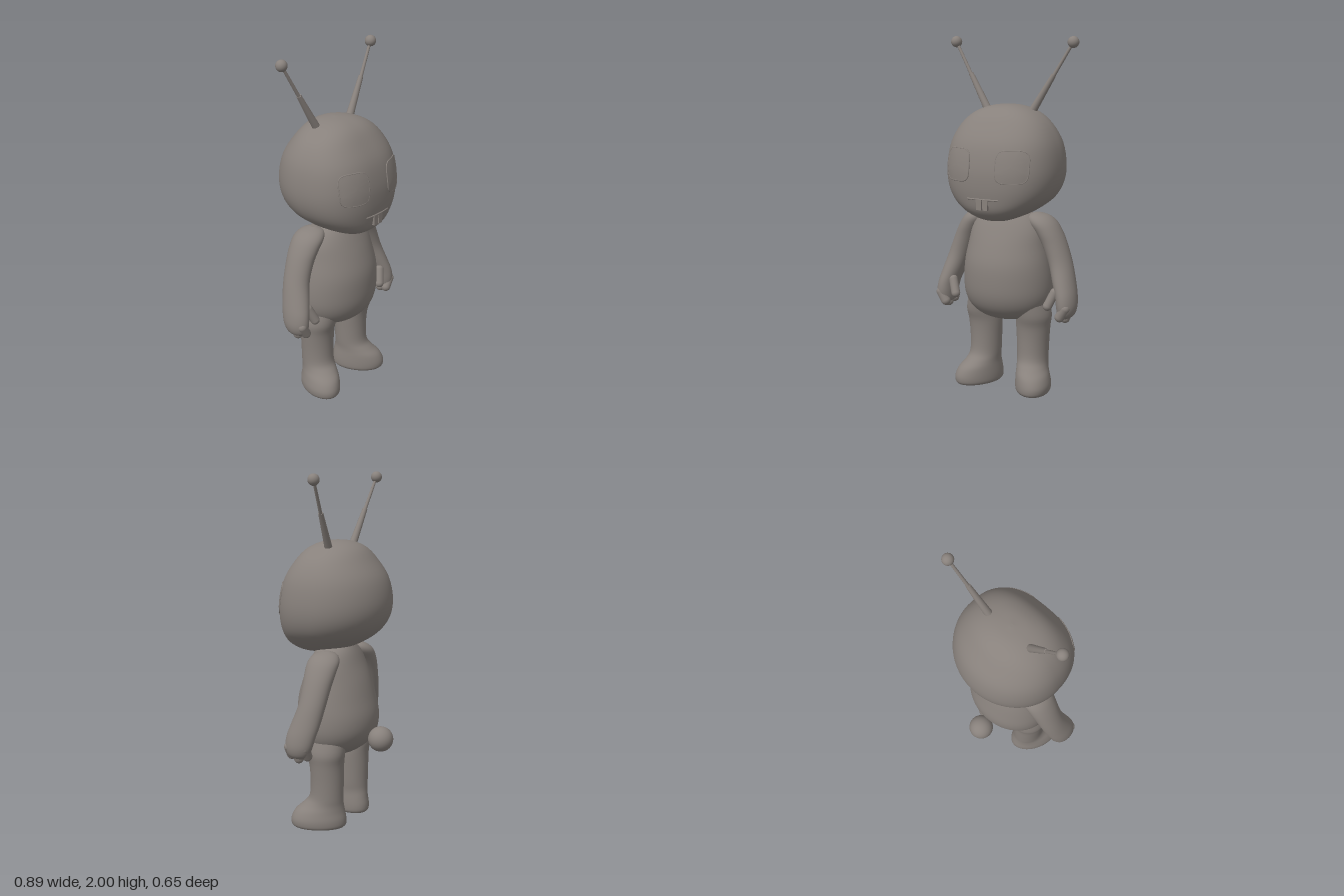
import * as THREE from 'three';

const skin = new THREE.MeshStandardMaterial({ color: 0x88817c });
skin.name = 'warm grey';

// Smoothly resample a list of cross-sections [x, y, z, rx, rz, yaw]
function resample(rings, steps) {
  const out = [];
  for (let i = 0; i < rings.length - 1; i++) {
    const p = [rings[Math.max(i - 1, 0)], rings[i], rings[i + 1], rings[Math.min(i + 2, rings.length - 1)]];
    for (let s = 0; s < steps; s++) {
      const t = s / steps;
      out.push(p[1].map((b, k) => {
        const a = p[0][k], c = p[2][k], d = p[3][k];
        return b + 0.5 * t * (c - a + t * (2 * a - 5 * b + 4 * c - d + t * (3 * (b - c) + d - a)));
      }));
    }
  }
  out.push(rings[rings.length - 1]);
  return out;
}

// Loft horizontal ovals listed from bottom to top; frontPower squares off the +z half
function loft(rings, frontPower = 2, segments = 40, steps = 4) {
  const sections = resample(rings, steps);
  const pos = [], index = [];
  const addRing = ([x, y, z, rx, rz, yaw]) => {
    const start = pos.length / 3;
    for (let j = 0; j < segments; j++) {
      const t = (j / segments) * Math.PI * 2, c = Math.cos(t), s = Math.sin(t);
      const e = s > 0 ? 2 / frontPower : 1;
      const u = Math.sign(c) * Math.abs(c) ** e * rx, v = Math.sign(s) * Math.abs(s) ** e * rz;
      pos.push(x + u * Math.cos(yaw) + v * Math.sin(yaw), y, z - u * Math.sin(yaw) + v * Math.cos(yaw));
    }
    return start;
  };
  const starts = sections.map(addRing);
  for (let i = 0; i < starts.length - 1; i++) {
    for (let j = 0; j < segments; j++) {
      const k = (j + 1) % segments;
      const a = starts[i] + j, b = starts[i] + k, c = starts[i + 1] + j, d = starts[i + 1] + k;
      index.push(a, c, b, b, c, d);
    }
  }
  // Flat end caps
  [sections[0], sections[sections.length - 1]].forEach((section, top) => {
    const start = addRing(section), centre = pos.length / 3;
    pos.push(section[0], section[1], section[2]);
    for (let j = 0; j < segments; j++) {
      const a = start + j, b = start + (j + 1) % segments;
      if (top) index.push(centre, b, a); else index.push(centre, a, b);
    }
  });
  return finish(pos, index);
}

function finish(pos, index) {
  const g = new THREE.BufferGeometry();
  g.setAttribute('position', new THREE.Float32BufferAttribute(pos, 3));
  g.setIndex(index);
  g.computeVertexNormals();
  return g;
}

const HEAD_POWER = 2.5;
const headRings = [
  [0.99, 0.145, 0.01, 0.01], [0.996, 0.14, 0.07, 0.075], [1.02, 0.115, 0.14, 0.15],
  [1.06, 0.085, 0.215, 0.215], [1.12, 0.05, 0.285, 0.265], [1.2, 0.027, 0.323, 0.297],
  [1.3, 0.018, 0.332, 0.303], [1.42, 0.017, 0.313, 0.275], [1.52, 0.02, 0.26, 0.212],
  [1.585, 0.02, 0.185, 0.155], [1.62, 0.02, 0.095, 0.085], [1.63, 0.02, 0.01, 0.01],
].map(([y, z, rx, rz]) => [0, y, z, rx, rz, 0]);
const headSections = resample(headRings, 4);

// Point on the face at a given x and y
function onFace(x, y, lift = 0) {
  const i = headSections.findIndex((s) => s[1] > y);
  const a = headSections[i - 1], b = headSections[i], t = (y - a[1]) / (b[1] - a[1]);
  const [, , zc, rx, rz] = a.map((v, k) => v + (b[k] - v) * t);
  const f = Math.max(0, 1 - (Math.abs(x) / rx) ** HEAD_POWER) ** (1 / HEAD_POWER);
  return new THREE.Vector3(x, y, zc + rz * f + lift);
}

// Rounded-square outline of an eye, scaled by s
function eyePoint(cx, t, s, lift) {
  const c = Math.cos(t), n = Math.sin(t);
  const x = cx + Math.sign(c) * Math.sqrt(Math.abs(c)) * 0.085 * s;
  const y = 1.31 + Math.sign(n) * Math.sqrt(Math.abs(n)) * 0.088 * s;
  return onFace(x, y, lift);
}

function eyePlate(cx) {
  const pos = [], index = [], n = 48, rows = 6;
  for (let r = 0; r <= rows; r++) {
    for (let j = 0; j < n; j++) {
      pos.push(...eyePoint(cx, (j / n) * Math.PI * 2, r / rows, 0.004).toArray());
      if (r === rows) continue;
      const a = r * n + j, b = r * n + (j + 1) % n;
      index.push(a, a + n, b, b, a + n, b + n);
    }
  }
  return finish(pos, index);
}

export function createModel() {
  const model = new THREE.Group();
  const add = (name, geometry, parent = model) => {
    const mesh = new THREE.Mesh(geometry, skin);
    mesh.name = name;
    parent.add(mesh);
    return mesh;
  };
  // Rounded or tapered rod between two points
  const rod = (name, from, to, r0, r1, round, parent) => {
    const a = new THREE.Vector3(...from), b = new THREE.Vector3(...to);
    const d = b.clone().sub(a), len = d.length();
    const mesh = add(name, round ? new THREE.CapsuleGeometry(r0, len, 8, 16)
      : new THREE.CylinderGeometry(r1, r0, len, 16), parent);
    mesh.position.copy(a).add(b).multiplyScalar(0.5);
    mesh.quaternion.setFromUnitVectors(new THREE.Vector3(0, 1, 0), d.normalize());
  };

  add('head', loft(headRings, HEAD_POWER, 64));

  // Pear-shaped body
  add('body', loft([
    [0.4, 0.025, 0.02, 0.02], [0.407, 0.025, 0.09, 0.07], [0.43, 0.025, 0.165, 0.125],
    [0.48, 0.02, 0.228, 0.182], [0.55, 0.016, 0.26, 0.216], [0.64, 0.017, 0.266, 0.224],
    [0.74, 0.025, 0.256, 0.211], [0.84, 0.025, 0.236, 0.183], [0.93, 0.025, 0.215, 0.148],
    [1.0, 0.022, 0.17, 0.118], [1.05, 0.02, 0.1, 0.09],
  ].map(([y, z, rx, rz]) => [0, y, z, rx, rz, 0]), 2, 48));

  const tail = add('tail', new THREE.SphereGeometry(0.072, 32, 20));
  tail.position.set(0, 0.51, -0.254);

  // Leg and out-turned foot with a flat sole
  const legShape = loft([
    [0.178, 0, 0.05, 0.092, 0.145, 0.42], [0.178, 0.015, 0.05, 0.101, 0.157, 0.42],
    [0.178, 0.05, 0.05, 0.103, 0.158, 0.42], [0.172, 0.095, 0.045, 0.097, 0.143, 0.38],
    [0.162, 0.135, 0.028, 0.09, 0.117, 0.25], [0.156, 0.18, 0.012, 0.089, 0.099, 0.1],
    [0.155, 0.27, 0.008, 0.092, 0.096, 0], [0.157, 0.37, 0.01, 0.098, 0.1, 0],
    [0.162, 0.44, 0.014, 0.1, 0.115, 0], [0.152, 0.52, 0.02, 0.09, 0.12, 0],
  ]);

  // Arm from wrist and palm up to the shoulder
  const armShape = loft([
    [0.385, 0.455, 0.06, 0.018, 0.03, 0], [0.388, 0.475, 0.06, 0.043, 0.062, 0],
    [0.39, 0.52, 0.056, 0.054, 0.08, 0], [0.382, 0.58, 0.046, 0.057, 0.086, 0],
    [0.36, 0.65, 0.028, 0.062, 0.085, 0], [0.327, 0.75, 0.006, 0.066, 0.079, 0],
    [0.287, 0.85, -0.002, 0.07, 0.083, 0], [0.25, 0.92, -0.003, 0.075, 0.09, 0],
    [0.21, 0.975, -0.002, 0.08, 0.09, 0], [0.185, 1.01, 0, 0.062, 0.065, 0],
    [0.175, 1.027, 0, 0.015, 0.02, 0],
  ]);

  for (const side of [1, -1]) {
    const label = side > 0 ? 'left' : 'right';

    const leg = add(label + 'Leg', side > 0 ? legShape : mirrored(legShape));
    leg.receiveShadow = false;

    const arm = new THREE.Group();
    arm.name = label + 'Arm';
    model.add(arm);
    add('sleeve', side > 0 ? armShape : mirrored(armShape), arm);
    // Curled fingers and thumb
    [[0.11, 0.47], [0.06, 0.455], [0.012, 0.47]].forEach(([z, tip], i) =>
      rod('finger' + (i + 1), [side * 0.403, 0.52, z], [side * (0.372 + 0.01 * (i % 2)), tip, z], 0.028, 0, true, arm));
    rod('thumb', [side * 0.33, 0.6, 0.09], [side * 0.299, 0.525, 0.115], 0.026, 0, true, arm);

    // Two-stage antenna with a ball tip
    const antenna = new THREE.Group();
    antenna.name = label + 'Antenna';
    model.add(antenna);
    rod('base', [side * 0.135, 1.58, 0.003], [side * 0.262, 1.79, -0.016], 0.023, 0.014, false, antenna);
    rod('stem', [side * 0.258, 1.78, -0.015], [side * 0.37, 1.968, -0.035], 0.01, 0.008, false, antenna);
    add('ball', new THREE.SphereGeometry(0.032, 24, 16), antenna).position.set(side * 0.37, 1.968, -0.035);

    // Eye plate and its fine rim, following the face
    add(label + 'Eye', eyePlate(side * 0.166));
    const rim = Array.from({ length: 48 }, (_, i) => eyePoint(side * 0.166, (i / 48) * Math.PI * 2, 1, 0.001));
    add(label + 'EyeRim', new THREE.TubeGeometry(new THREE.CatmullRomCurve3(rim, true), 96, 0.004, 6, true));

    // Front tooth, slightly narrower at the bottom
    const tooth = new THREE.BoxGeometry(0.036, 0.06, 0.03);
    const p = tooth.attributes.position;
    for (let i = 0; i < p.count; i++) if (p.getY(i) < 0) p.setX(i, p.getX(i) * 0.8);
    tooth.computeVertexNormals();
    add(label + 'Tooth', tooth).position.set(side * 0.0195, 1.1, 0.306);
  }

  // Thin lip line above the teeth
  const lip = Array.from({ length: 11 }, (_, i) => onFace(-0.095 + i * 0.019, 1.128));
  add('mouth', new THREE.TubeGeometry(new THREE.CatmullRomCurve3(lip), 40, 0.005, 8));

  return model;
}

// Copy of a geometry reflected across x = 0, with its faces turned outward again
function mirrored(geometry) {
  const g = geometry.clone().scale(-1, 1, 1);
  const ix = g.index.array;
  for (let i = 0; i < ix.length; i += 3) [ix[i], ix[i + 1]] = [ix[i + 1], ix[i]];
  g.computeVertexNormals();
  return g;
}
